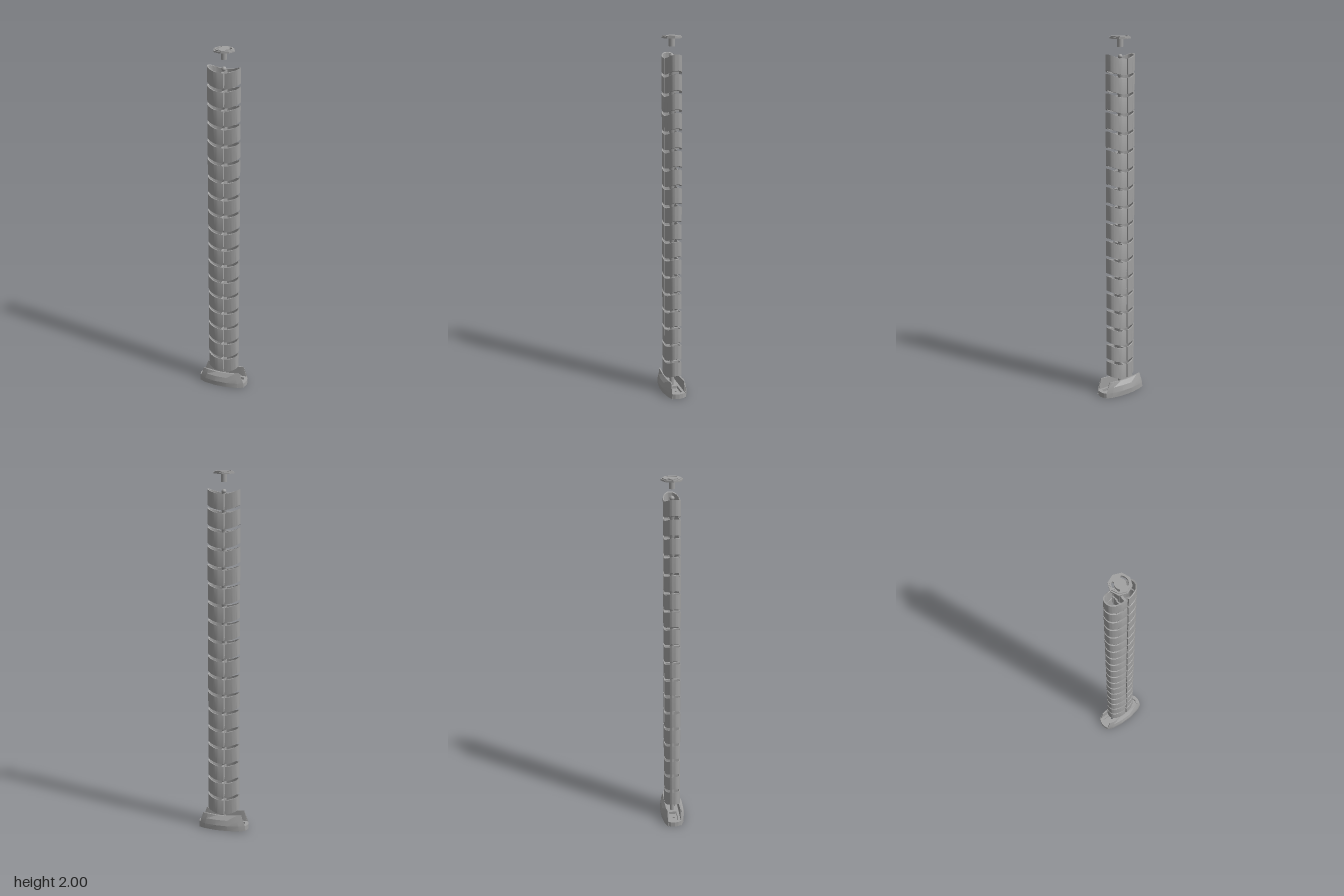
import * as THREE from 'three';
import { toCreasedNormals } from 'three/addons/utils/BufferGeometryUtils.js';

const grey = new THREE.MeshStandardMaterial({ color: 0xa0a0a0 });
grey.name = 'satin grey';

function part(parent, name, geometry, y = 0) {
  const mesh = new THREE.Mesh(geometry, grey);
  mesh.name = name;
  mesh.position.y = y;
  parent.add(mesh);
  return mesh;
}

// Extrude a plan shape upwards
function slab(shape, depth, curveSegments = 8) {
  return new THREE.ExtrudeGeometry(shape, { depth, bevelEnabled: false, curveSegments }).rotateX(-Math.PI / 2);
}

const circle = (x, y, r) => new THREE.Path().absarc(x, y, r, 0, Math.PI * 2, true);

// Point on a rounded oval
function oval(deg, a, b) {
  const t = THREE.MathUtils.degToRad(deg), c = Math.cos(t), s = Math.sin(t);
  return new THREE.Vector2(a * Math.sign(c) * Math.abs(c) ** 0.8, b * Math.sign(s) * Math.abs(s) ** 0.8);
}

// Half-oval cable guard, open by a slit on one side, dipping towards its middle
function guardGeometry() {
  const outer = [], inner = [], n = 28;
  for (let i = 0; i <= n; i++) {
    const deg = -83 + (176.5 * i) / n;
    outer.push(oval(deg, 0.0885, 0.045));
    inner.unshift(oval(deg, 0.0815, 0.039));
  }
  const geo = slab(new THREE.Shape([...outer, ...inner]), 0.083);
  const p = geo.attributes.position;
  for (let i = 0; i < p.count; i++) p.setY(i, p.getY(i) + 0.025 * (p.getX(i) / 0.0885) ** 2);
  geo.computeVertexNormals();
  return toCreasedNormals(geo, 0.6);
}

// Curved side wall of the foot, lofted along x
function footWallGeometry() {
  const stations = [[-0.135, 0.04], [-0.1, 0.056], [-0.036, 0.068], [0.036, 0.068], [0.1, 0.056], [0.135, 0.04]];
  const inner = 0.036, pos = [], idx = [], m = 6;
  stations.forEach(([x, z]) => {
    const top = 0.081 + 0.009 * Math.min(1, (x / 0.12) ** 2);
    const rim = Math.min(z, inner + 0.009);
    const section = [[z * 0.96, 0], [z, 0.03], [rim + (z - rim) * 0.7, 0.06], [rim, top], [inner, top], [inner, 0]];
    section.forEach(([pz, py]) => pos.push(x * (1 - 0.18 * Math.max(0, (py - 0.02) / 0.07)), py, pz));
  });
  for (let i = 0; i < stations.length - 1; i++) {
    for (let j = 0; j < m; j++) {
      const a = i * m + j, b = i * m + ((j + 1) % m);
      idx.push(a, a + m, b + m, a, b + m, b);
    }
  }
  const last = (stations.length - 1) * m;
  for (let j = 1; j < m - 1; j++) idx.push(0, j, j + 1, last, last + j + 1, last + j);
  const geo = new THREE.BufferGeometry();
  geo.setAttribute('position', new THREE.Float32BufferAttribute(pos, 3));
  geo.setIndex(idx);
  return toCreasedNormals(geo, 0.3);
}

// Foot outline in plan
function footShape() {
  const quarter = [[0.143, 0], [0.139, 0.022], [0.13, 0.038], [0.1, 0.054], [0.036, 0.065]];
  const half = [...quarter, ...quarter.slice(1).reverse().map(([x, y]) => [-x, y])];
  const all = [...half, [-0.143, 0], ...half.slice(1).reverse().map(([x, y]) => [x, -y])];
  return new THREE.Shape(all.map(([x, y]) => new THREE.Vector2(x, y)));
}

function createFoot() {
  const foot = new THREE.Group();
  foot.name = 'foot';
  // Floor with two screw holes
  const floor = footShape();
  floor.holes.push(circle(0.068, 0, 0.007), circle(-0.068, 0, 0.007));
  part(foot, 'footFloor', slab(floor, 0.013));
  // Raised deck around two recessed pockets
  const deck = footShape();
  for (const s of [-1, 1]) {
    const pocket = [[0.03, -0.022], [0.117, -0.022], [0.123, 0], [0.117, 0.022], [0.03, 0.022]];
    deck.holes.push(new THREE.Path(pocket.map(([x, y]) => new THREE.Vector2(s * x, y))));
  }
  part(foot, 'footDeck', slab(deck, 0.015), 0.013);
  const wall = footWallGeometry();
  part(foot, 'frontFootWall', wall);
  part(foot, 'backFootWall', wall).rotation.y = Math.PI;
  part(foot, 'footPost', new THREE.CylinderGeometry(0.013, 0.013, 0.085, 20), 0.0575);
  return foot;
}

function createSpine() {
  const spine = new THREE.Group();
  spine.name = 'spine';
  const guard = guardGeometry();
  const web = new THREE.BoxGeometry(0.012, 0.08, 0.08);
  const column = new THREE.CylinderGeometry(0.011, 0.011, 0.1, 16);
  const collar = new THREE.CylinderGeometry(0.018, 0.014, 0.02, 16);
  const ball = new THREE.SphereGeometry(0.013, 16, 10);
  for (let i = 0; i < 18; i++) {
    const link = new THREE.Group();
    link.name = 'link' + (i + 1);
    link.position.y = 0.09 + i * 0.1006;
    part(link, 'leftGuard', guard);
    part(link, 'rightGuard', guard).rotation.y = Math.PI;
    part(link, 'centreWeb', web, 0.0415);
    part(link, 'jointColumn', column, 0.043);
    part(link, 'jointCollar', collar, 0.003);
    part(link, 'jointBall', ball, 0.094);
    spine.add(link);
  }
  return spine;
}

function createTopMount() {
  const mount = new THREE.Group();
  mount.name = 'topMount';
  // Octagonal plate with two curved screw slots
  const corners = (r) => Array.from({ length: 8 }, (_, i) =>
    new THREE.Vector2(r * Math.cos(i * Math.PI / 4), r * Math.sin(i * Math.PI / 4)));
  const slots = () => [0, Math.PI].map((mid) => {
    const path = new THREE.Path(), w = 0.75, r = 0.034, h = 0.006;
    path.absarc(0, 0, r + h, mid - w, mid + w, false);
    path.absarc(r * Math.cos(mid + w), r * Math.sin(mid + w), h, mid + w, mid + w + Math.PI, false);
    path.absarc(0, 0, r - h, mid + w, mid - w, true);
    path.absarc(r * Math.cos(mid - w), r * Math.sin(mid - w), h, mid - w + Math.PI, mid - w + Math.PI * 2, false);
    return path;
  });
  const lower = new THREE.Shape(corners(0.057));
  lower.holes.push(...slots());
  part(mount, 'mountPlate', slab(lower, 0.008, 12), 1.987);
  const upper = new THREE.Shape(corners(0.05));
  upper.holes.push(...slots());
  part(mount, 'mountPad', slab(upper, 0.005, 12), 1.995);
  part(mount, 'mountStem', new THREE.CylinderGeometry(0.016, 0.016, 0.045, 20), 1.9665);
  return mount;
}

export function createModel() {
  const model = new THREE.Group();
  model.name = 'cableSpine';
  model.add(createFoot(), createSpine(), createTopMount());
  return model;
}
